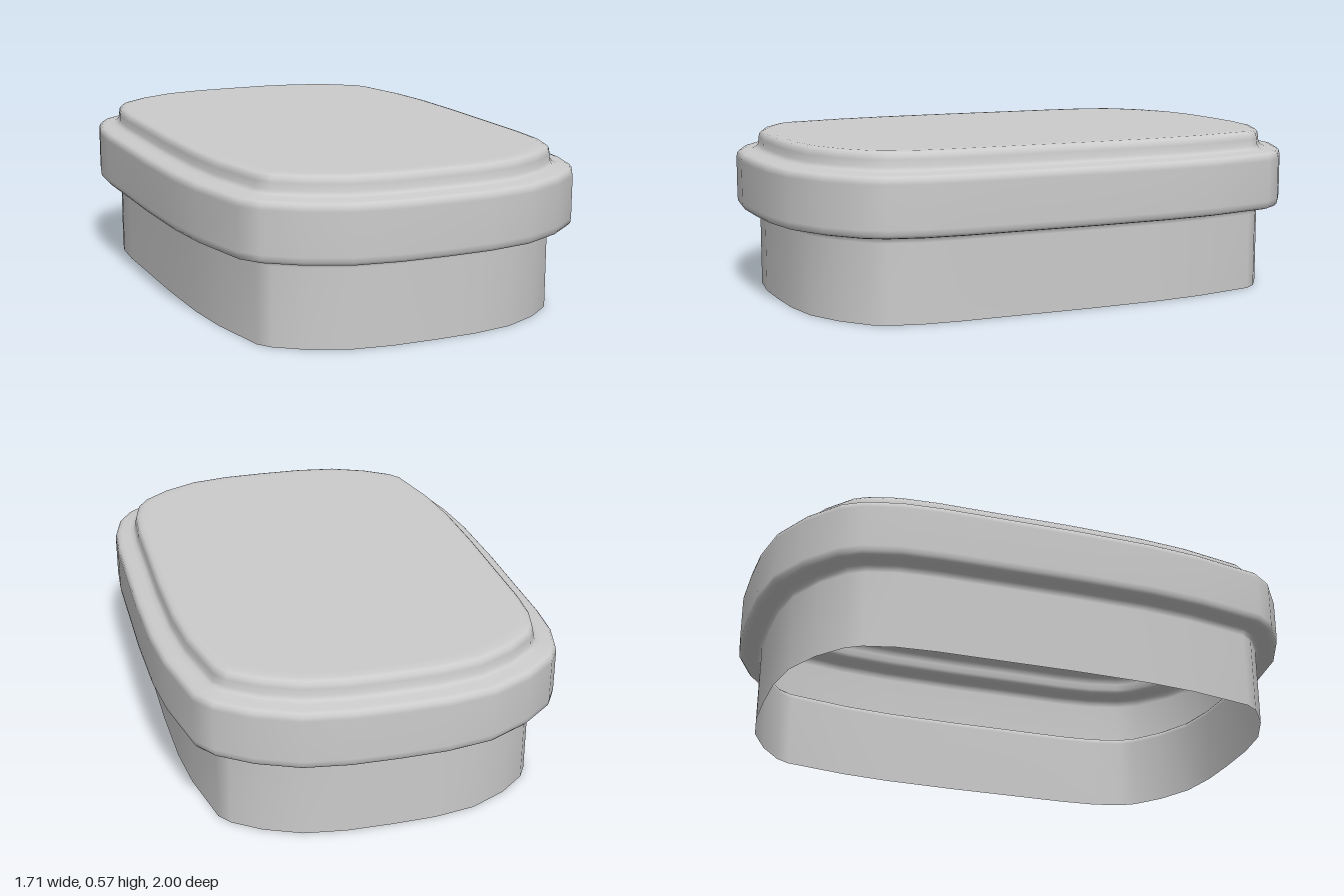
import * as THREE from 'three';

// Half of the skewed rounded outline as [x, z]; the other half is it turned 180 degrees.
const HALF = [
  [0.08, -1], [0.235, -0.96], [0.38, -0.9], [0.53, -0.83], [0.665, -0.745],
  [0.77, -0.63], [0.838, -0.512], [0.855, -0.425], [0.8, -0.18], [0.74, 0],
  [0.635, 0.25], [0.53, 0.48], [0.437, 0.685], [0.37, 0.81], [0.29, 0.91],
  [0.22, 0.958], [0.08, 0.995],
];
const OUTLINE = [...HALF, ...HALF.map(([x, z]) => [-x, -z])].map(([x, z]) => new THREE.Vector2(x, z));

// Wall section from the open bottom edge to the top, as [inset, y].
const SECTION = [
  [0.08, 0], [0.08, 0.27], [0.078, 0.283], [0.07, 0.291], [0.055, 0.294],
  [0.025, 0.294], [0.01, 0.298], [0.002, 0.308], [0, 0.325],
  [0, 0.47], [0.003, 0.485], [0.011, 0.494], [0.025, 0.498],
  [0.055, 0.501], [0.07, 0.506], [0.078, 0.518], [0.08, 0.54],
  [0.083, 0.554], [0.092, 0.563], [0.108, 0.567], [0.14, 0.568],
];

// Moves each outline point inward along its mitred corner normal.
function insetOutline(inset) {
  const n = OUTLINE.length;
  const normal = (a, b) => new THREE.Vector2(b.y - a.y, a.x - b.x).normalize();
  return OUTLINE.map((p, i) => {
    const n1 = normal(OUTLINE[(i + n - 1) % n], p);
    const n2 = normal(p, OUTLINE[(i + 1) % n]);
    const miter = n1.clone().add(n2).normalize();
    return p.clone().addScaledVector(miter, -inset / miter.dot(n1));
  });
}

// Skins the stacked rings and closes the last one with a flat fan.
function shellGeometry() {
  const n = OUTLINE.length;
  const positions = [];
  const index = [];
  SECTION.forEach(([inset, y], r) => {
    for (const p of insetOutline(inset)) positions.push(p.x, y, p.y);
    if (r === 0) return;
    for (let j = 0; j < n; j++) {
      const a = (r - 1) * n + j, b = (r - 1) * n + (j + 1) % n;
      index.push(a, a + n, b, b, a + n, b + n);
    }
  });
  const centre = SECTION.length * n;
  positions.push(0, 0.568, 0);
  for (let j = 0; j < n; j++) index.push(centre - n + j, centre, centre - n + (j + 1) % n);

  const geometry = new THREE.BufferGeometry();
  geometry.setAttribute('position', new THREE.Float32BufferAttribute(positions, 3));
  geometry.setIndex(index);
  geometry.computeVertexNormals();
  return geometry;
}

export function createModel() {
  const group = new THREE.Group();
  group.name = 'cap';
  // Thin shell: skirt, protruding rim and raised top, open underneath
  const shell = new THREE.Mesh(
    shellGeometry(),
    new THREE.MeshStandardMaterial({ color: 0xcccccc, side: THREE.DoubleSide })
  );
  shell.name = 'capShell';
  group.add(shell);
  return group;
}
